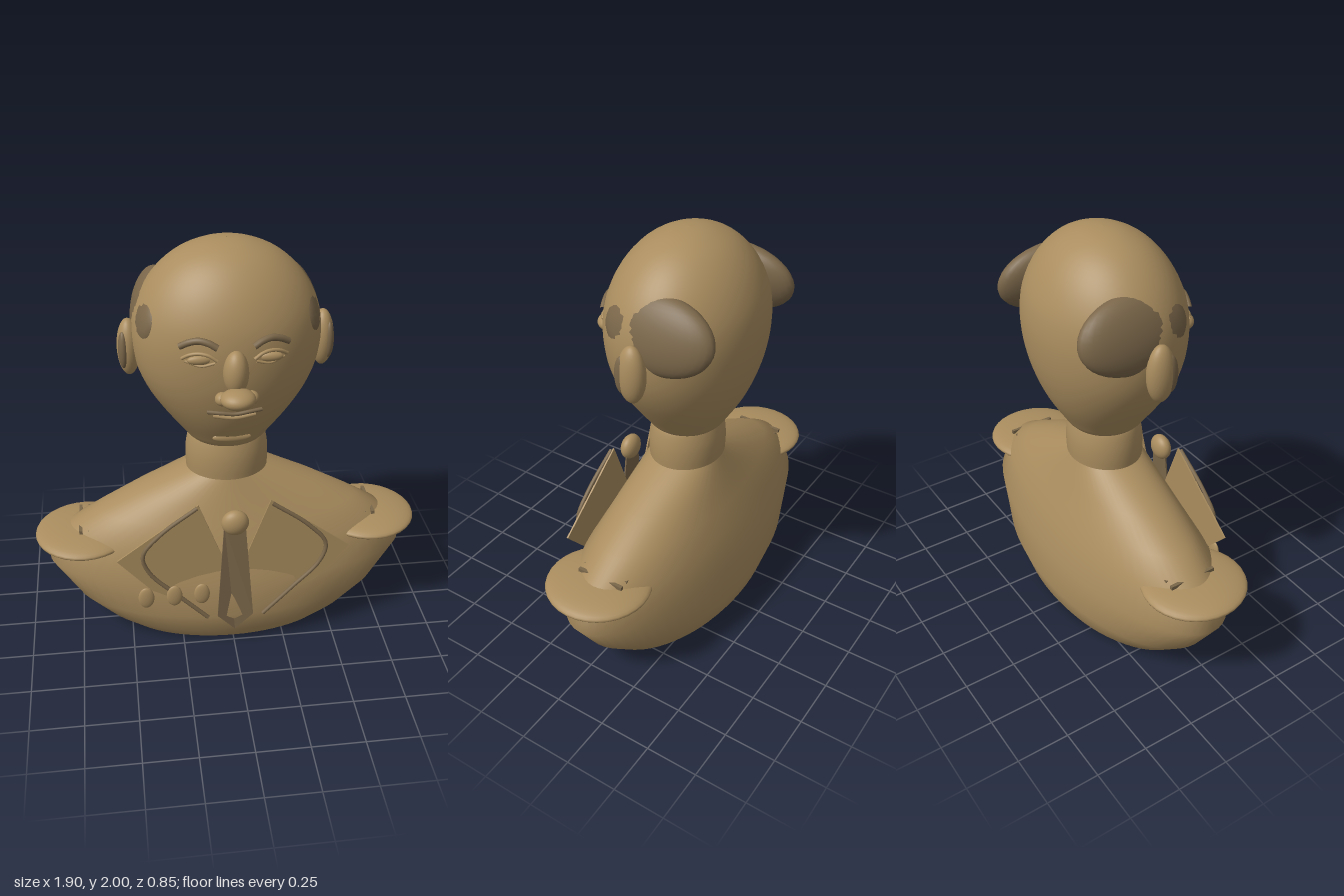
import * as THREE from 'three';

const bronze = new THREE.MeshStandardMaterial({ color: 0xaa8d5f });
bronze.name = 'bronze';
const darkBronze = new THREE.MeshStandardMaterial({ color: 0x7b674a });
darkBronze.name = 'dark bronze';
const openBronze = bronze; // one bronze for solids and the hollow torso
openBronze.side = THREE.DoubleSide;

const CZ = -0.063; // depth of the body axis

// Cross-sections as [y, half width, half depth]
const headRows = [
  [1.02, 0.001, 0.001], [1.025, 0.11, 0.11], [1.045, 0.175, 0.165], [1.1, 0.22, 0.203],
  [1.2, 0.295, 0.262], [1.3, 0.36, 0.303], [1.4, 0.405, 0.33], [1.5, 0.427, 0.344],
  [1.6, 0.43, 0.346], [1.7, 0.411, 0.331], [1.8, 0.363, 0.292], [1.88, 0.298, 0.24],
  [1.94, 0.221, 0.178], [1.98, 0.13, 0.105], [1.995, 0.065, 0.052], [2.0, 0.001, 0.001],
];
const torsoRows = [
  [0, 0.54, 0.28], [0.07, 0.64, 0.322], [0.19, 0.765, 0.357], [0.38, 0.89, 0.34],
  [0.546, 0.815, 0.292], [0.65, 0.64, 0.25], [0.75, 0.455, 0.213], [0.865, 0.197, 0.172],
];
const neckRows = [
  [0.855, 0.196, 0.172], [0.92, 0.199, 0.175], [0.98, 0.196, 0.172], [1.04, 0.184, 0.16], [1.07, 0.17, 0.15],
];

// Joins elliptical cross-sections into a smooth skin
function loft(rows, steps = 1, segments = 64) {
  let rings = rows;
  if (steps > 1) {
    const curve = new THREE.CatmullRomCurve3(rows.map(([y, a, b]) => new THREE.Vector3(a, y, b)));
    rings = curve.getPoints((rows.length - 1) * steps).map((p) => [p.y, p.x, p.z]);
  }
  const positions = [], index = [];
  rings.forEach(([y, a, b], i) => {
    for (let j = 0; j < segments; j++) {
      const t = (j / segments) * Math.PI * 2;
      positions.push(a * Math.sin(t), y, CZ + b * Math.cos(t));
      if (i === rings.length - 1) continue;
      const k = i * segments + j, n = i * segments + ((j + 1) % segments);
      index.push(k, n, n + segments, k, n + segments, k + segments);
    }
  });
  const g = new THREE.BufferGeometry();
  g.setAttribute('position', new THREE.Float32BufferAttribute(positions, 3));
  g.setIndex(index);
  g.computeVertexNormals();
  return g;
}

// Depth of the face surface at x, y
function faceZ(x, y) {
  const i = Math.max(1, headRows.findIndex((r) => r[0] >= y));
  const [y0, a0, b0] = headRows[i - 1], [y1, a1, b1] = headRows[i];
  const t = (y - y0) / (y1 - y0);
  const a = a0 + (a1 - a0) * t, b = b0 + (b1 - b0) * t;
  return CZ + b * Math.sqrt(Math.max(0, 1 - (x / a) ** 2));
}

export function createModel() {
  const model = new THREE.Group();
  model.name = 'bust';

  const add = (name, geometry, material = bronze) => {
    const mesh = new THREE.Mesh(geometry, material);
    mesh.name = name;
    model.add(mesh);
    return mesh;
  };
  const ball = (name, pos, size, material) => {
    const mesh = add(name, new THREE.SphereGeometry(1, 32, 20), material);
    mesh.position.set(...pos);
    mesh.scale.set(...size);
    return mesh;
  };
  const tube = (name, points, radius, material) => {
    const curve = new THREE.CatmullRomCurve3(points.map((p) => new THREE.Vector3(...p)));
    return add(name, new THREE.TubeGeometry(curve, 32, radius, 10), material);
  };
  // Tube lying on the face through [x, y] points
  const faceTube = (name, points, radius, lift, material) =>
    tube(name, points.map(([x, y]) => [x, y, faceZ(x, y) + lift]), radius, material);
  // Thin plate from an outline
  const plate = (name, outline, material) => {
    const shape = new THREE.Shape(outline.map(([x, y]) => new THREE.Vector2(x, y)));
    return add(name, new THREE.ExtrudeGeometry(shape, { depth: 0.008, bevelEnabled: false }), material);
  };

  // Main masses
  add('torso', loft(torsoRows), openBronze);
  add('neck', loft(neckRows, 4));
  add('head', loft(headRows, 3));

  // Paired parts
  for (const [side, s] of [['left', 1], ['right', -1]]) {
    const hair = ball(`${side}Hair`, [s * 0.338, 1.662, -0.135], [0.085, 0.175, 0.265], darkBronze);
    hair.rotation.z = s * 0.25;
    ball(`${side}Ear`, [s * 0.445, 1.502, -0.068], [0.053, 0.137, 0.066]);
    ball(`${side}EarHollow`, [s * 0.469, 1.502, -0.033], [0.024, 0.09, 0.034], darkBronze);

    // Eye, lids and brow
    ball(`${side}Eye`, [s * 0.152, 1.573, faceZ(0.152, 1.573)], [0.055, 0.022, 0.018]);
    faceTube(`${side}UpperLid`, [[s * 0.08, 1.574], [s * 0.115, 1.597], [s * 0.155, 1.604], [s * 0.195, 1.595], [s * 0.228, 1.574]], 0.008, 0.006);
    faceTube(`${side}LowerLid`, [[s * 0.088, 1.563], [s * 0.15, 1.546], [s * 0.215, 1.563]], 0.006, 0.005);
    faceTube(`${side}Brow`, [[s * 0.078, 1.632], [s * 0.115, 1.652], [s * 0.155, 1.66], [s * 0.195, 1.65], [s * 0.235, 1.628]], 0.015, 0.008, darkBronze);
    ball(`${side}Nostril`, [s * 0.064, 1.412, 0.32], [0.032, 0.03, 0.034]);

    // Jacket front and its piping
    plate(`${side}Lapel`, [[0.17, 0.83], [0.56, 0.54], [0.4, 0.355], [0.12, 0.2], [0.03, 0.45]]
      .map(([x, y]) => [s * x, y])).position.z = 0.25;
    tube(`${side}Piping`, [[0.175, 0.82, 0.264], [0.35, 0.69, 0.273], [0.437, 0.58, 0.28], [0.408, 0.48, 0.286], [0.28, 0.345, 0.294], [0.135, 0.2, 0.302]]
      .map(([x, y, z]) => [s * x, y, z]), 0.01, darkBronze);

    // Shoulder pad with its bars
    ball(`${side}ShoulderPad`, [s * 0.71, 0.525, -0.045], [0.24, 0.046, 0.245]);
    for (const [x, y] of [[0.725, 0.576], [0.68, 0.576]]) {
      const bar = add(`${side}ShoulderBar`, new THREE.BoxGeometry(0.016, 0.018, 0.235), darkBronze);
      bar.position.set(s * x, y, -0.067);
    }
  }

  // Nose
  ball('noseBridge', [0, 1.515, 0.285], [0.056, 0.103, 0.062]);
  ball('noseTip', [0, 1.425, 0.355], [0.077, 0.043, 0.071]);
  ball('noseBase', [0, 1.383, 0.295], [0.032, 0.026, 0.03], darkBronze);

  // Mouth and chin
  faceTube('upperLip', [[-0.122, 1.308], [-0.06, 1.304], [0, 1.297], [0.06, 1.304], [0.122, 1.308]], 0.009, 0.014, darkBronze);
  faceTube('lowerLip', [[-0.095, 1.285], [0, 1.273], [0.095, 1.285]], 0.01, 0.012);
  ball('chin', [0, 1.118, faceZ(0, 1.118) - 0.006], [0.09, 0.024, 0.014]);

  // Tie: blade leaning forward, tip tucked back
  const tie = plate('tie', [[-0.05, 0.72], [-0.087, 0.2], [0, 0.1], [0.087, 0.2], [0.05, 0.72]], darkBronze);
  const p = tie.geometry.attributes.position;
  for (let i = 0; i < p.count; i++) {
    const y = p.getY(i);
    p.setZ(i, p.getZ(i) + (y < 0.15 ? 0.28 : 0.306 - 0.06 * y));
  }
  tie.geometry.computeVertexNormals();
  ball('tieKnot', [0, 0.732, 0.275], [0.065, 0.065, 0.042]);

  // Medals on the right breast
  for (const x of [-0.43, -0.295, -0.163]) ball('medal', [x, 0.347, 0.3], [0.038, 0.058, 0.014]);

  return model;
}
